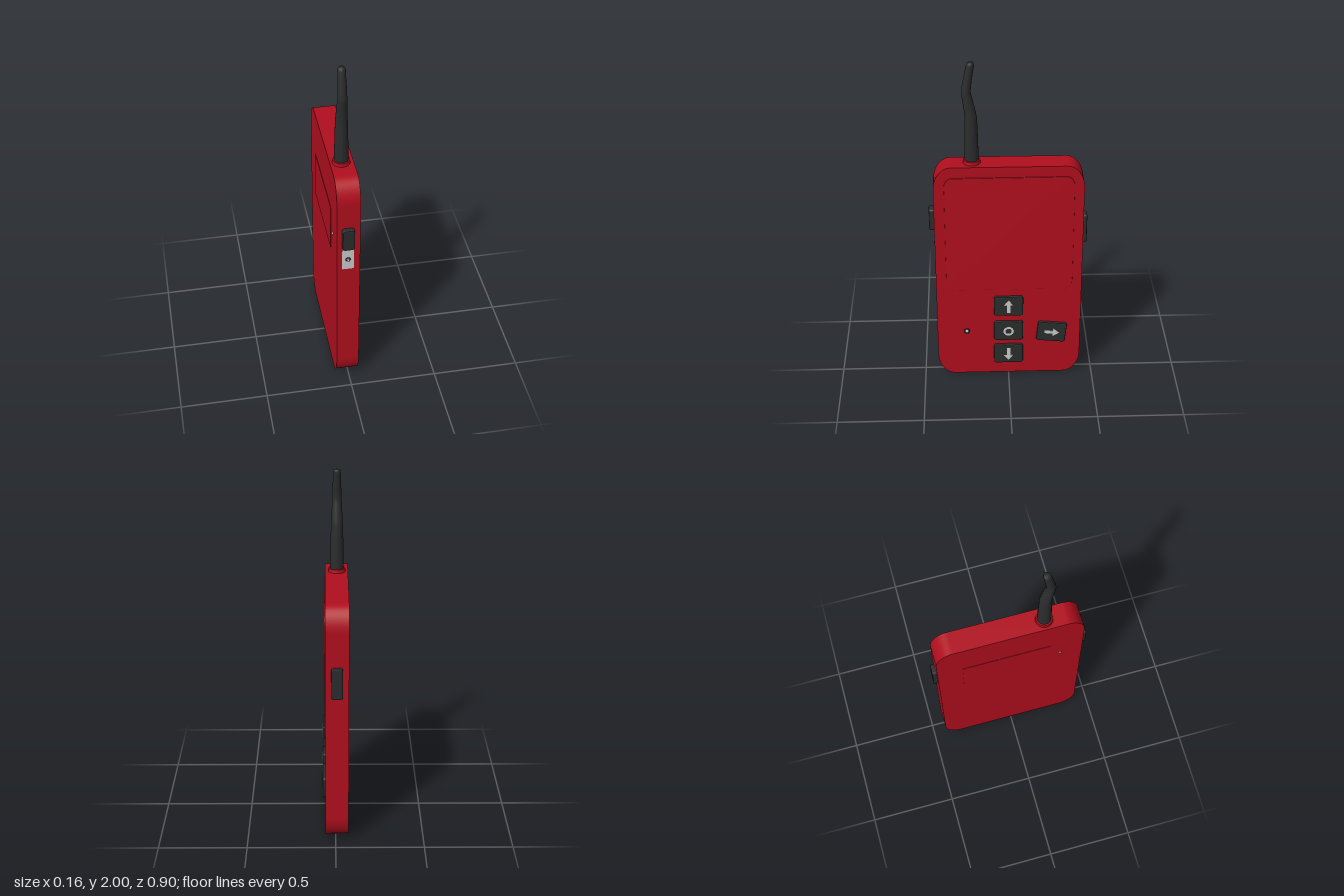
import * as THREE from 'three';

const red = new THREE.MeshStandardMaterial({ color: 0xb00f1e });
const dark = new THREE.MeshStandardMaterial({ color: 0x2b2c2d });
const light = new THREE.MeshStandardMaterial({ color: 0xcccccc });

// Rectangle centred on the origin with elliptical corners (rx, ry)
function roundedRect(w, h, rx, ry = rx) {
  const s = new THREE.Shape(), a = w / 2, b = h / 2, q = Math.PI / 2;
  [[1, -1], [1, 1], [-1, 1], [-1, -1]].forEach(([sx, sy], i) => {
    s.absellipse(sx * (a - rx), sy * (b - ry), rx, ry, (i - 1) * q, i * q, false);
  });
  s.closePath();
  return s;
}

function slab(shape, depth, bevel = 0) {
  return new THREE.ExtrudeGeometry(shape, {
    depth: depth - bevel, bevelEnabled: bevel > 0, bevelThickness: bevel,
    bevelSize: bevel, bevelOffset: -bevel, bevelSegments: 2, curveSegments: 10,
  });
}

function add(parent, name, geometry, material, x = 0, y = 0, z = 0) {
  const mesh = new THREE.Mesh(geometry, material);
  mesh.name = name;
  mesh.position.set(x, y, z);
  parent.add(mesh);
  return mesh;
}

// Group whose local +z points out of a side of the case
function mount(parent, name, x, y, z, turn) {
  const g = new THREE.Group();
  g.name = name;
  g.position.set(x, y, z);
  g.rotation.y = turn;
  parent.add(g);
  return g;
}

function arrowShape() {
  const s = new THREE.Shape();
  [[-0.01, -0.043], [0.01, -0.043], [0.01, 0.008], [0.028, 0.008],
    [0, 0.045], [-0.028, 0.008], [-0.01, 0.008]]
    .forEach(([x, y], i) => (i ? s.lineTo(x, y) : s.moveTo(x, y)));
  s.closePath();
  return s;
}

function ringShape() {
  const s = new THREE.Shape().absarc(0, 0, 0.031, 0, Math.PI * 2);
  s.holes.push(new THREE.Path().absarc(0, 0, 0.018, 0, Math.PI * 2, true));
  return s;
}

// Bent whip: a tapered lathe whose rings are shifted along z
function antennaGeometry() {
  const profile = [[0.039, 0], [0.038, 0.1], [0.036, 0.19], [0.034, 0.26], [0.032, 0.3],
    [0.029, 0.36], [0.027, 0.4], [0.026, 0.42], [0.025, 0.46], [0.023, 0.52],
    [0.022, 0.575], [0.018, 0.588], [0, 0.59]];
  const geo = new THREE.LatheGeometry(profile.map(([r, y]) => new THREE.Vector2(r, y)), 20);
  const bend = [[0, 0], [0.28, 0.001], [0.34, 0.012], [0.42, 0.026], [0.46, 0.021], [0.6, -0.003]];
  const p = geo.attributes.position;
  for (let i = 0; i < p.count; i++) {
    const y = p.getY(i);
    const k = Math.max(1, bend.findIndex((b) => b[0] >= y));
    const [y0, z0] = bend[k - 1], [y1, z1] = bend[k];
    p.setZ(i, p.getZ(i) + THREE.MathUtils.mapLinear(y, y0, y1, z0, z1));
  }
  geo.computeVertexNormals();
  return geo;
}

export function createModel() {
  const model = new THREE.Group();
  model.name = 'handheldRemote';
  const faceX = 0.057, backX = -0.073, q = Math.PI / 2;

  // Case and the raised screen panel
  const caseGroup = mount(model, 'case', backX, 0.7025, -0.0025, q);
  add(caseGroup, 'caseBody', slab(roundedRect(0.845, 1.405, 0.1, 0.14), faceX - backX), red);
  const face = mount(model, 'controlFace', faceX, 0, 0, q);
  add(face, 'screenPanel', slab(roundedRect(0.73, 0.74, 0.045, 0.06), 0.005, 0.002), red, 0.005, 0.97, 0);

  // Keypad: [name, across, up, turn of key, turn of arrow]
  const keys = [
    ['upKey', 0, 0.487, 0, 0],
    ['selectKey', 0, 0.311, 0, null],
    ['downKey', 0, 0.145, 0, Math.PI],
    ['sideKey', 0.255, 0.298, -0.1, -q],
  ];
  for (const [name, u, v, turn, arrowTurn] of keys) {
    const key = new THREE.Group();
    key.name = name;
    key.position.set(u, v, 0);
    key.rotation.z = turn;
    face.add(key);
    add(key, name + 'Cap', slab(roundedRect(0.172, 0.132, 0.014), 0.016, 0.006), dark);
    const symbol = arrowTurn === null ? ringShape() : arrowShape();
    add(key, name + 'Symbol', slab(symbol, 0.002), light, 0, 0, 0.0155).rotation.z = arrowTurn ?? 0;
  }

  // Indicator lamp beside the keypad
  const lamp = mount(face, 'indicator', -0.247, 0.307, 0, 0);
  add(lamp, 'indicatorRim', new THREE.TorusGeometry(0.015, 0.004, 8, 20), dark, 0, 0, 0.001);
  add(lamp, 'indicatorLens', new THREE.SphereGeometry(0.01, 14, 10), light);

  // Back plate and small stud
  const back = mount(model, 'backFace', backX, 0, 0, -q);
  add(back, 'backPlate', slab(roundedRect(0.51, 0.29, 0.008), 0.002), red, -0.024, 0.985, 0);
  add(back, 'backStud', new THREE.SphereGeometry(0.008, 12, 8), light, 0.29, 0.99, 0);

  // Front edge: dark button and light plate with a screw
  const front = mount(model, 'frontEdge', -0.011, 0, 0.42, 0);
  add(front, 'frontButton', slab(roundedRect(0.068, 0.135, 0.014), 0.029, 0.006), dark, 0, 1.053, 0);
  add(front, 'socketPlate', slab(roundedRect(0.066, 0.135, 0.006), 0.003), light, 0, 0.903, 0);
  add(front, 'socketRim', new THREE.TorusGeometry(0.012, 0.003, 8, 18), dark, 0, 0.903, 0.003);
  add(front, 'socketScrew', new THREE.CylinderGeometry(0.007, 0.007, 0.012, 14), light, 0, 0.903, 0.003)
    .rotation.x = q;

  // Rear edge button
  const rear = mount(model, 'rearEdge', -0.008, 0, -0.425, Math.PI);
  add(rear, 'rearButton', slab(roundedRect(0.064, 0.18, 0.014), 0.024, 0.006), dark, 0, 0.98, 0);

  // Antenna with its collar
  const antenna = mount(model, 'antenna', -0.01, 1.405, 0.202, 0);
  add(antenna, 'antennaCollar', new THREE.CylinderGeometry(0.047, 0.05, 0.024, 24), red, 0, 0.008, 0);
  add(antenna, 'antennaWhip', antennaGeometry(), dark, 0, 0.005, 0);

  return model;
}
